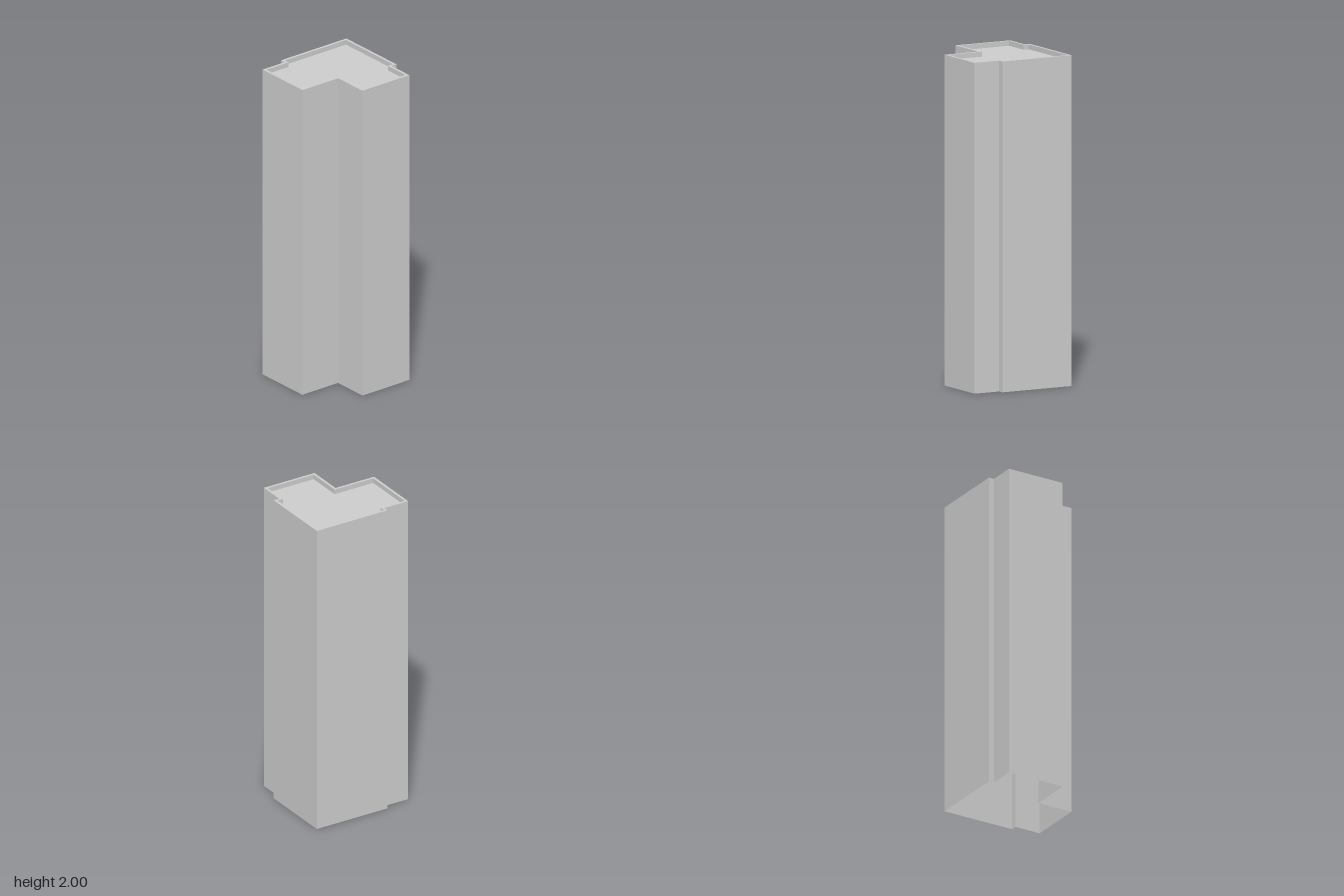
import * as THREE from 'three';

const HEIGHT = 2;
const PARAPET_DEPTH = 0.03;
const PARAPET_WIDTH = 0.016;

// Floor plan as [x, z], running clockwise seen from above
const plan = [
  [-0.335, -0.288], [-0.165, -0.288], [-0.165, -0.323], [0.335, -0.323], [0.335, 0.154],
  [0.297, 0.154], [0.297, 0.323], [-0.062, 0.323], [-0.062, 0.09], [-0.335, 0.09],
];

// Moves every edge of a right-angled outline inward by t
function inset(points, t) {
  const n = points.length;
  const inward = (a, b) => [-Math.sign(b[1] - a[1]), Math.sign(b[0] - a[0])];
  return points.map((p, i) => {
    const n0 = inward(points[(i + n - 1) % n], p);
    const n1 = inward(p, points[(i + 1) % n]);
    return [p[0] + t * (n0[0] + n1[0]), p[1] + t * (n0[1] + n1[1])];
  });
}

// Vertical walls along a closed outline, facing outward for a clockwise plan
function wallGeometry(points, y0, y1) {
  const pos = [];
  points.forEach(([ax, az], i) => {
    const [bx, bz] = points[(i + 1) % points.length];
    pos.push(ax, y0, az, ax, y1, az, bx, y1, bz);
    pos.push(ax, y0, az, bx, y1, bz, bx, y0, bz);
  });
  const geo = new THREE.BufferGeometry();
  geo.setAttribute('position', new THREE.Float32BufferAttribute(pos, 3));
  geo.computeVertexNormals();
  return geo;
}

// Horizontal face filling an outline, with an optional hole
function flatGeometry(points, y, hole) {
  const to2D = (list) => list.map(([x, z]) => new THREE.Vector2(x, -z));
  const shape = new THREE.Shape(to2D(points));
  if (hole) shape.holes.push(new THREE.Path(to2D(hole)));
  return new THREE.ShapeGeometry(shape).rotateX(-Math.PI / 2).translate(0, y, 0);
}

export function createModel() {
  const group = new THREE.Group();
  group.name = 'towerBlock';
  const material = new THREE.MeshStandardMaterial({ color: 0xcccccc, side: THREE.DoubleSide });
  const add = (name, geometry) => {
    const mesh = new THREE.Mesh(geometry, material);
    mesh.name = name;
    group.add(mesh);
  };

  const inner = inset(plan, PARAPET_WIDTH);
  const roofY = HEIGHT - PARAPET_DEPTH;

  // Outer shell, open at the bottom
  add('outerWalls', wallGeometry(plan, 0, HEIGHT));
  // Raised rim around the sunken roof
  add('parapetTop', flatGeometry(plan, HEIGHT, inner));
  add('parapetInnerWalls', wallGeometry([...inner].reverse(), roofY, HEIGHT));
  add('roof', flatGeometry(inner, roofY));

  return group;
}
